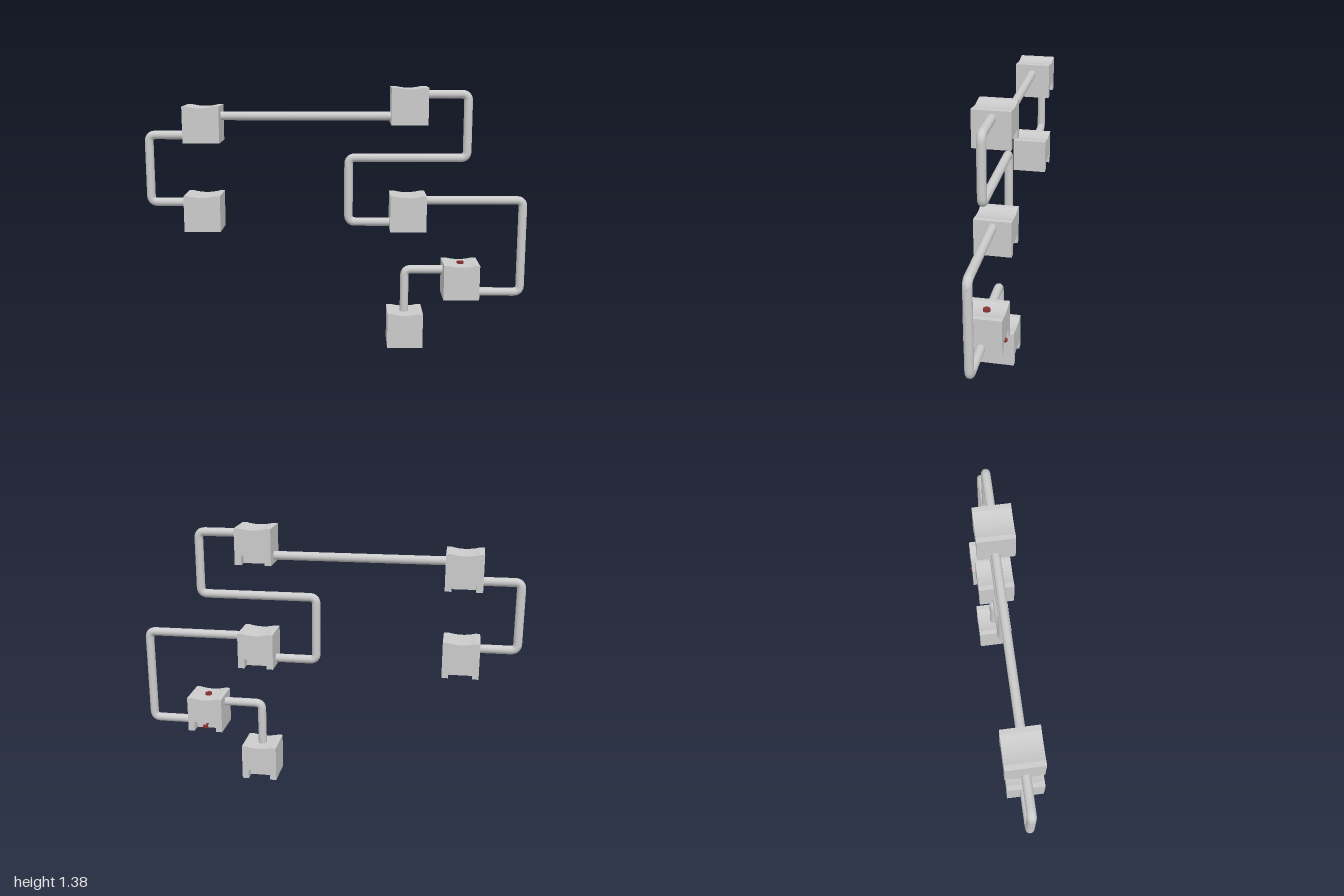
import * as THREE from 'three';

const S = 0.188;          // block edge length
const R = 0.0225;         // pipe radius
const grey = new THREE.MeshStandardMaterial({ color: 0xcccccc });
const flatGrey = new THREE.MeshStandardMaterial({ color: 0xcccccc, flatShading: true });
const red = new THREE.MeshStandardMaterial({ color: 0x8a3030 });

// Front outline of a block: gently dished top, optional chute notch in the bottom
function blockShape(notched) {
  const h = S / 2, shape = new THREE.Shape();
  shape.moveTo(-h, 0);
  if (notched) {
    shape.lineTo(-0.06, 0);
    shape.lineTo(-0.06, 0.05);
    shape.lineTo(0.06, 0.05);
    shape.lineTo(0.06, 0);
  }
  shape.lineTo(h, 0);
  shape.lineTo(h, S);
  shape.lineTo(h - 0.025, S);
  shape.quadraticCurveTo(0, S - 0.018, -h + 0.025, S);
  shape.lineTo(-h, S);
  shape.closePath();
  return shape;
}

// Block = solid front part plus a notched slab at the back
function makeBlock(name, x, y, z) {
  const block = new THREE.Group();
  block.name = name;
  const back = 0.055;
  const parts = [
    ['blockBody', false, -S / 2 + back, S - back],
    ['chuteSlab', true, -S / 2, back],
  ];
  for (const [partName, notched, start, depth] of parts) {
    const geo = new THREE.ExtrudeGeometry(blockShape(notched), { depth, bevelEnabled: false, curveSegments: 8 });
    const mesh = new THREE.Mesh(geo, flatGrey);
    mesh.name = partName;
    mesh.position.z = start;
    block.add(mesh);
  }
  block.position.set(x, y, z);
  return block;
}

// Pipe through corner points, with a small rounded bend at each inner corner
function makePipe(name, points, z) {
  const group = new THREE.Group();
  group.name = name;
  const pts = points.map(([x, y]) => new THREE.Vector3(x, y, z));
  const bend = 0.035;
  let start = pts[0];
  const addTube = (curve, segments, part) => {
    const mesh = new THREE.Mesh(new THREE.TubeGeometry(curve, segments, R, 20, false), grey);
    mesh.name = part;
    group.add(mesh);
  };
  for (let i = 1; i < pts.length; i++) {
    const corner = pts[i];
    if (i === pts.length - 1) {
      addTube(new THREE.LineCurve3(start, corner), 1, 'straight');
      break;
    }
    const dirIn = corner.clone().sub(pts[i - 1]).normalize();
    const dirOut = pts[i + 1].clone().sub(corner).normalize();
    const a = corner.clone().addScaledVector(dirIn, -bend);
    const b = corner.clone().addScaledVector(dirOut, bend);
    addTube(new THREE.LineCurve3(start, a), 1, 'straight');
    addTube(new THREE.QuadraticBezierCurve3(a, corner, b), 8, 'elbow');
    start = b;
  }
  return group;
}

export function createModel() {
  const model = new THREE.Group();
  model.name = 'pipedBlocks';

  // Blocks: name, centre x, base y, centre z
  const blocks = [
    ['upperRightBlock', -0.693, 1.092, -0.002],
    ['lowerRightBlock', -0.695, 0.634, 0.012],
    ['topBlock', 0.371, 1.188, 0.006],
    ['middleBlock', 0.371, 0.634, 0.005],
    ['buttonBlock', 0.657, 0.264, -0.006],
    ['baseBlock', 0.363, 0, -0.005],
  ];
  for (const b of blocks) model.add(makeBlock(...b));

  // Pipes joining the blocks
  model.add(makePipe('longPipe', [[-0.62, 1.226], [0.3, 1.226]], 0.002));
  model.add(makePipe('rightLoopPipe',
    [[-0.76, 1.127], [-0.977, 1.127], [-0.977, 0.774], [-0.76, 0.774]], 0.003));
  model.add(makePipe('zigzagPipe',
    [[0.44, 1.338], [0.676, 1.338], [0.676, 1.01], [0.061, 1.01], [0.061, 0.671], [0.3, 0.671]], 0.004));
  model.add(makePipe('leftLoopPipe',
    [[0.44, 0.787], [0.976, 0.787], [0.976, 0.291], [0.73, 0.291]], 0.005));
  model.add(makePipe('lowerPipe', [[0.59, 0.41], [0.361, 0.41], [0.361, 0.16]], -0.006));

  // Red button on top of the button block
  const button = new THREE.Mesh(new THREE.CylinderGeometry(0.018, 0.018, 0.014, 24), red);
  button.name = 'topButton';
  button.position.set(0.657, 0.448, -0.006);
  model.add(button);

  // Small red piece lying in the chute of the button block
  const pellet = new THREE.Mesh(new THREE.CylinderGeometry(0.014, 0.014, 0.012, 24), red);
  pellet.name = 'chutePiece';
  pellet.position.set(0.657, 0.29, -0.092);
  model.add(pellet);
  const stem = new THREE.Mesh(new THREE.CylinderGeometry(0.005, 0.005, 0.05, 12), red);
  stem.name = 'chuteStem';
  stem.rotation.x = Math.PI / 2;
  stem.position.set(0.657, 0.29, -0.065);
  model.add(stem);

  return model;
}
